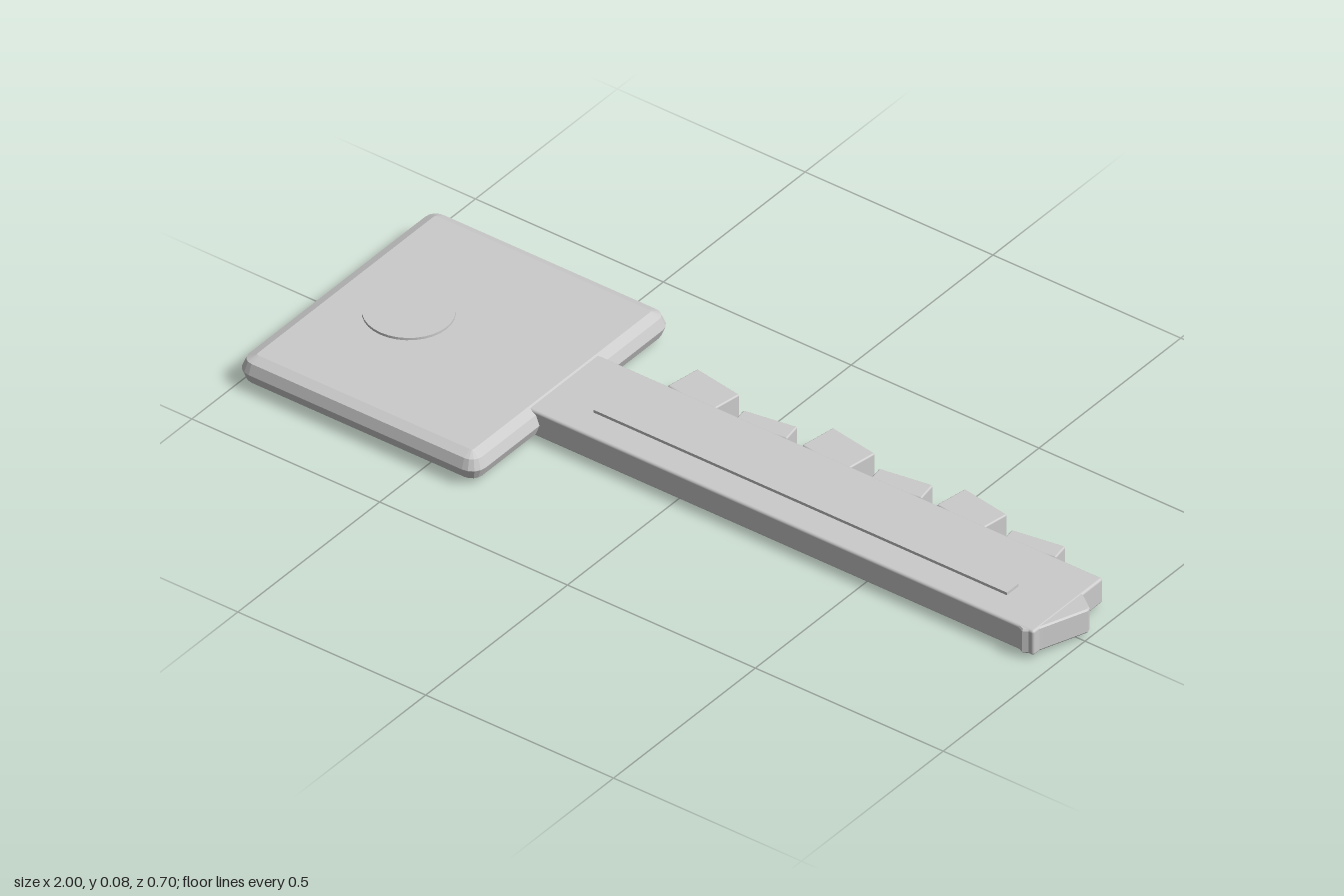
import * as THREE from 'three';
import { RoundedBoxGeometry } from 'three/addons/geometries/RoundedBoxGeometry.js';

const mat = new THREE.MeshStandardMaterial({ color: 0xcccccc });
const flat = new THREE.MeshStandardMaterial({ color: 0xcccccc, flatShading: true });

export function createModel() {
  const key = new THREE.Group();
  key.name = 'key';

  const add = (name, geometry, x = 0, y = 0, z = 0, material = mat) => {
    const mesh = new THREE.Mesh(geometry, material);
    mesh.name = name;
    mesh.position.set(x, y, z);
    key.add(mesh);
    return mesh;
  };

  // lays an outline (x, -z) flat between two heights, with bevelled rims
  const slab = (shape, y0, y1, thickness, size, segments) => {
    const g = new THREE.ExtrudeGeometry(shape, {
      depth: y1 - y0 - 2 * thickness, bevelThickness: thickness, bevelSize: size,
      bevelOffset: -size, bevelSegments: segments, curveSegments: 2,
    });
    return g.rotateX(-Math.PI / 2).translate(0, y0 + thickness, 0);
  };

  const roundedRect = (x0, x1, h, r) => {
    const s = new THREE.Shape();
    s.absarc(x1 - r, h - r, r, 0, Math.PI / 2);
    s.absarc(x0 + r, h - r, r, Math.PI / 2, Math.PI);
    s.absarc(x0 + r, r - h, r, Math.PI, Math.PI * 1.5);
    s.absarc(x1 - r, r - h, r, Math.PI * 1.5, Math.PI * 2);
    s.closePath();
    return s;
  };

  // bow: square handle with a faceted rounded rim
  add('bow', slab(roundedRect(-1, -0.36, 0.348, 0.036), 0.008, 0.077, 0.034, 0.032, 2), 0, 0, 0, flat);

  // round inlay showing on both faces of the bow
  add('bowInlay', new THREE.CylinderGeometry(0.1, 0.1, 0.083, 32), -0.8, 0.0415, 0);

  // blade
  add('blade', new RoundedBoxGeometry(1.355, 0.064, 0.246, 2, 0.006), 0.2775, 0.043, -0.001);

  // slanted tip
  const tip = new THREE.Shape([
    [0.9, -0.115], [0.93, -0.129], [0.949, -0.118], [0.958, -0.092],
    [0.998, 0.014], [0.994, 0.024], [0.952, 0.055], [0.9, 0.06],
  ].map(([x, y]) => new THREE.Vector2(x, y)));
  add('tip', slab(tip, 0.012, 0.074, 0.004, 0.003, 1), 0, 0, 0, flat);

  // raised rib along the top of the blade
  add('rib', new THREE.BoxGeometry(1.1, 0.02, 0.04), 0.28, 0.072, 0.03);

  // teeth: alternately tall and short, tilted to either side
  [0.203, 0.163, 0.206, 0.168, 0.198, 0.16].forEach((reach, i) => {
    const depth = reach - 0.115;
    const tooth = add('tooth' + (i + 1), new RoundedBoxGeometry(0.13, 0.061, depth, 2, 0.004),
      -0.135 + i * 0.179, 0.0425, -reach + depth / 2);
    tooth.rotation.y = i % 2 ? 0.16 : -0.16;
  });

  return key;
}
